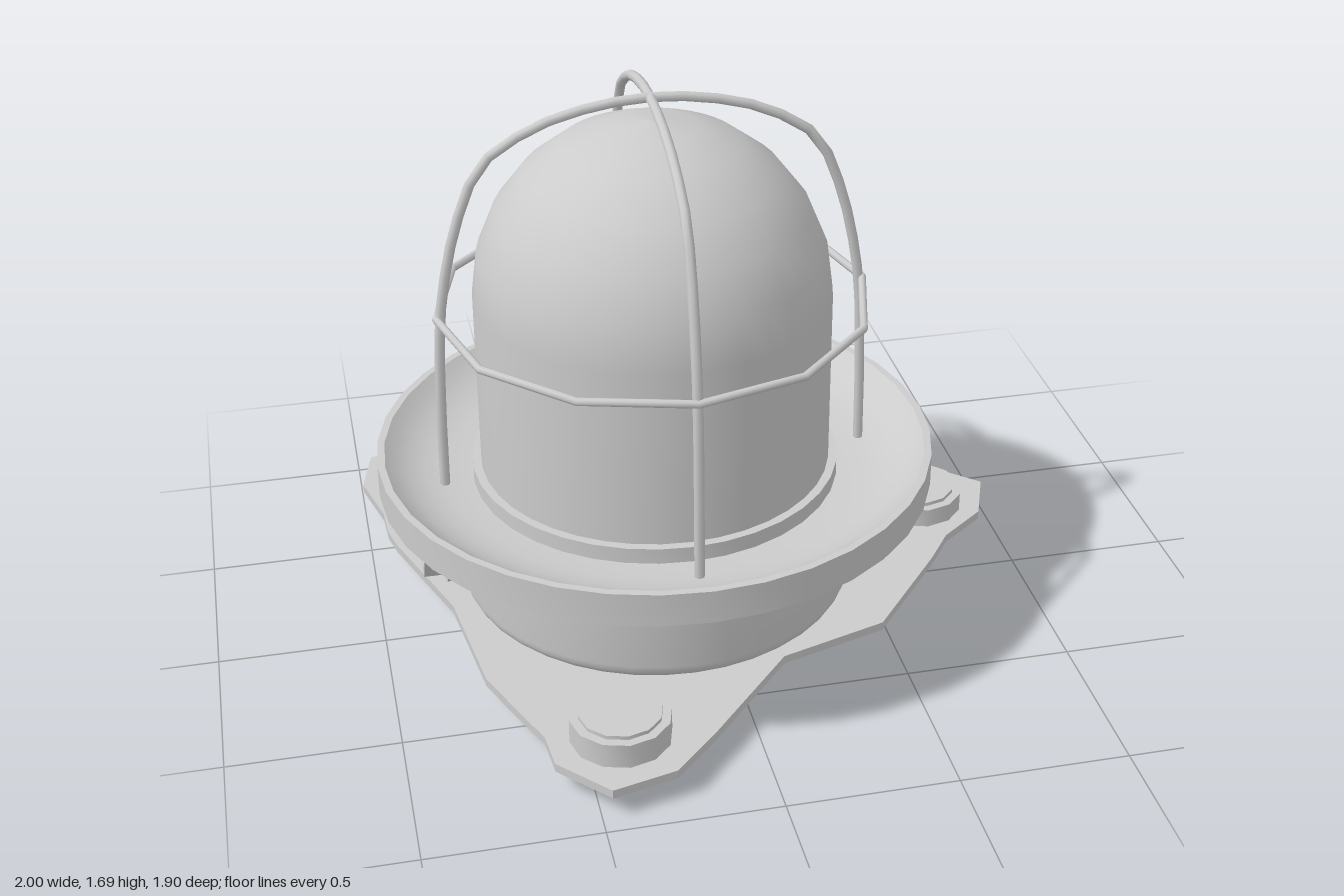
import * as THREE from 'three';
import { toCreasedNormals } from 'three/addons/utils/BufferGeometryUtils.js';

const material = new THREE.MeshStandardMaterial({ color: 0xcccccc });
const v2 = ([x, y]) => new THREE.Vector2(x, y);

function part(name, geometry, crease = 0.6) {
  const mesh = new THREE.Mesh(crease ? toCreasedNormals(geometry, crease) : geometry, material);
  mesh.name = name;
  return mesh;
}

const lathe = (points, segments) => new THREE.LatheGeometry(points.map(v2), segments);

// Quarter arc of profile points, bulging outward
function arc(cx, cy, r, from, to, steps) {
  return Array.from({ length: steps + 1 }, (_, i) => {
    const a = from + (to - from) * i / steps;
    return [Math.max(0, cx + r * Math.cos(a)), cy + r * Math.sin(a)];
  });
}

// Thin three-lobed plate, outline given as [x, z]
function mountingPlate() {
  const outline = [
    [-0.96, -0.92], [-0.75, -0.955], [-0.57, -0.90], [-0.41, -0.88], [-0.34, -0.84],
    [-0.12, -0.70], [0.2, -0.66], [0.51, -0.60], [0.60, -0.54], [0.85, -0.465],
    [1.0, -0.33], [0.935, -0.16], [0.79, -0.05], [0.71, 0.06], [0.66, 0.12],
    [0.46, 0.36], [0.13, 0.46], [-0.15, 0.77], [-0.28, 0.90], [-0.47, 0.945],
    [-0.605, 0.80], [-0.615, 0.68], [-0.65, 0.60], [-0.74, 0.38], [-0.79, 0],
    [-0.925, -0.37], [-0.945, -0.45], [-0.95, -0.56], [-1.0, -0.75],
  ];
  const shape = new THREE.Shape(outline.map(([x, z]) => new THREE.Vector2(x, -z)));
  const geometry = new THREE.ExtrudeGeometry(shape, { depth: 0.027, bevelEnabled: false });
  return part('mountingPlate', geometry.rotateX(-Math.PI / 2).translate(0, 0.067, 0), 0.3);
}

// Rubber foot: wide drum with a narrower cap above and below
function foot(x, y, z) {
  const profile = [[0, 0], [0.12, 0], [0.12, 0.03], [0.146, 0.03], [0.146, 0.155],
    [0.12, 0.155], [0.12, 0.167], [0, 0.167]];
  const mesh = part('foot', lathe(profile, 12));
  mesh.position.set(x, y, z);
  return mesh;
}

// Cable gland, built along +z and turned to either side
function cableGland(side) {
  const gland = new THREE.Group();
  gland.name = side > 0 ? 'leftCableGland' : 'rightCableGland';
  const disc = (name, r, from, to) => part(name, new THREE.CylinderGeometry(r, r, to - from, 24)
    .rotateX(Math.PI / 2).translate(0, 0, (from + to) / 2));
  gland.add(disc('boss', 0.125, 0.5, 0.64), disc('washer', 0.142, 0.638, 0.655));

  const hex = new THREE.Shape(Array.from({ length: 6 }, (_, i) =>
    v2([0.12 * Math.cos(i * Math.PI / 3), 0.12 * Math.sin(i * Math.PI / 3)])));
  hex.holes.push(new THREE.Path().absarc(0, 0, 0.09, 0, Math.PI * 2, true));
  const nut = new THREE.ExtrudeGeometry(hex, { depth: 0.065, bevelEnabled: false, curveSegments: 12 });
  gland.add(part('nut', nut.translate(0, 0, 0.655)));

  const plug = new THREE.SphereGeometry(0.09, 20, 6, 0, Math.PI * 2, 0, Math.PI / 2)
    .scale(1, 0.6, 1).rotateX(Math.PI / 2).translate(0, 0, 0.657);
  gland.add(part('plug', plug, 0));
  gland.position.y = 0.32;
  gland.rotation.y = side * Math.PI / 2;
  return gland;
}

// Wire hoop running over the dome from rim to rim
function cageHoop() {
  const half = [[0.635, 0.5], [0.632, 0.75], [0.618, 1.05], [0.587, 1.23], [0.548, 1.37],
    [0.475, 1.52], [0.31, 1.62], [0.15, 1.662]];
  const path = [...half, [0, 1.675], ...half.map(([x, y]) => [-x, y]).reverse()];
  const curve = new THREE.CatmullRomCurve3(path.map(([x, y]) => new THREE.Vector3(x, y, 0)));
  return part('cageHoop', new THREE.TubeGeometry(curve, 32, 0.015, 8), 0);
}

export function createModel() {
  const model = new THREE.Group();
  model.name = 'bulkheadLamp';
  model.add(mountingPlate());
  model.add(foot(-0.786, 0.004, -0.735), foot(0.75, 0, -0.257), foot(-0.405, 0.015, 0.715));

  // Everything above the plate shares one axis
  const lamp = new THREE.Group();
  lamp.name = 'lamp';
  lamp.position.set(-0.15, 0, -0.057);
  model.add(lamp);

  // Housing with a rounded lower edge
  const housing = [[0, 0.11], ...arc(0.54, 0.163, 0.053, -Math.PI / 2, 0, 5), [0.593, 0.485]];
  lamp.add(part('housing', lathe(housing, 40)));

  // Flange with a raised rim, dished top and collar around the dome
  const flange = [[0.5, 0.48], [0.83, 0.48], [0.83, 0.582], [0.808, 0.582], [0.78, 0.556],
    [0.74, 0.53], [0.69, 0.51], [0.63, 0.497], [0.548, 0.492], [0.548, 0.54], [0.51, 0.54]];
  lamp.add(part('flange', lathe(flange, 36)));

  // Glass dome
  const dome = [[0.522, 0.485], ...arc(0, 1.083, 0.522, 0, Math.PI / 2, 6)];
  lamp.add(part('dome', lathe(dome, 40), 0));

  // Wire cage: two crossing hoops and a twelve-sided ring
  const crossHoop = cageHoop();
  crossHoop.rotation.y = Math.PI / 2;
  lamp.add(cageHoop(), crossHoop);
  const ring = part('cageRing', new THREE.TorusGeometry(0.63, 0.012, 8, 12).rotateX(Math.PI / 2), 0);
  ring.position.y = 1.05;
  lamp.add(ring);

  for (const side of [1, -1]) lamp.add(cableGland(side));
  return model;
}
